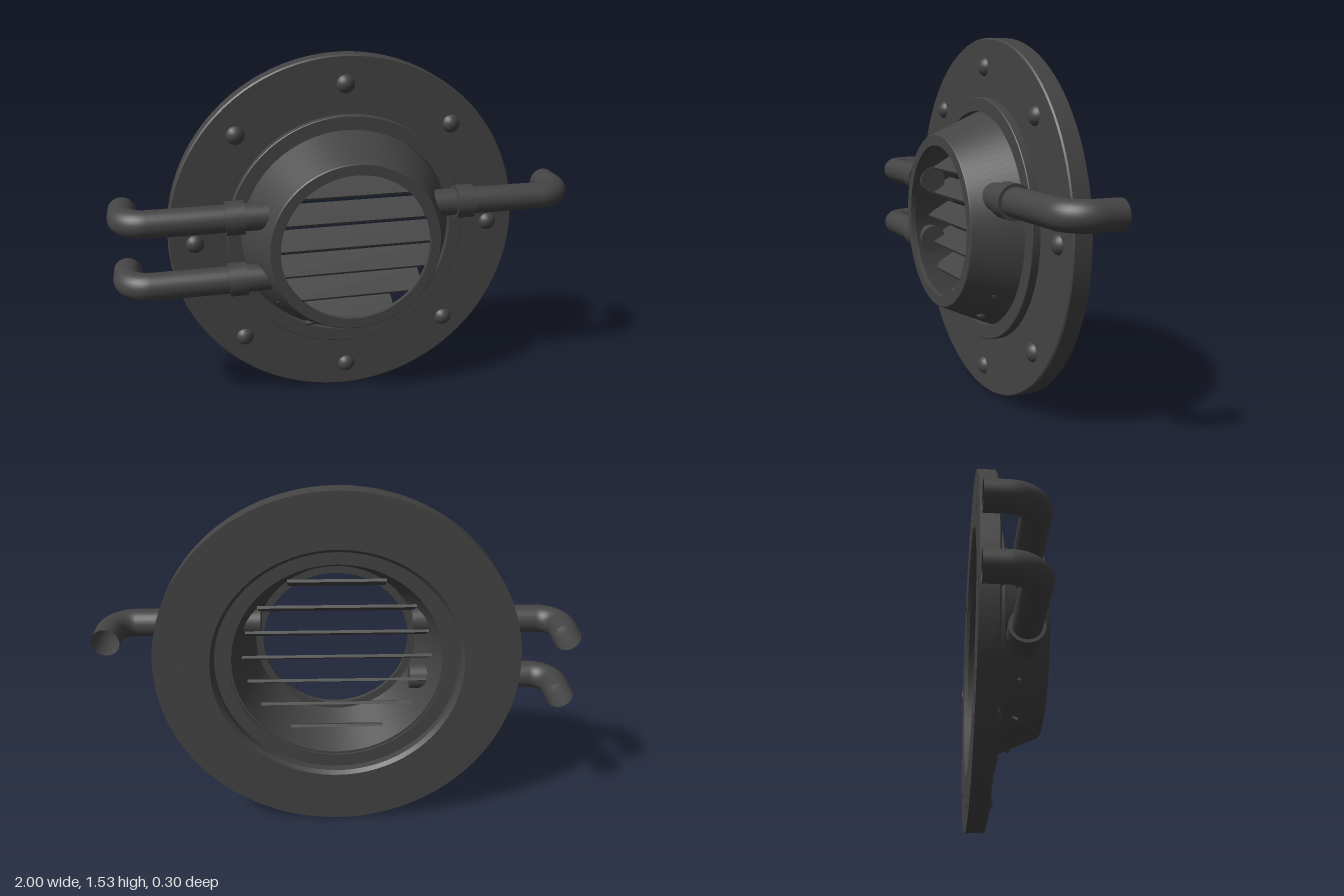
import * as THREE from 'three';
import { toCreasedNormals } from 'three/addons/utils/BufferGeometryUtils.js';

const CY = 0.765;     // height of the vent axis
const INNER_Y = 0.757; // height of the rivet circle and slats

export function createModel() {
  const metal = new THREE.MeshStandardMaterial({ color: 0x444444, side: THREE.DoubleSide });
  metal.name = 'dark grey metal';
  const group = new THREE.Group();
  group.name = 'wallVent';

  const add = (name, geometry, x = 0, y = CY, z = 0, parent = group) => {
    const mesh = new THREE.Mesh(geometry, metal);
    mesh.name = name;
    mesh.position.set(x, y, z);
    parent.add(mesh);
    return mesh;
  };

  // Closed [radius, z] profile turned about the z axis
  const turned = (profile, segments = 96) => {
    const points = [...profile, profile[0]].map(([r, z]) => new THREE.Vector2(r, z));
    const geometry = new THREE.LatheGeometry(points, segments).rotateX(Math.PI / 2);
    return toCreasedNormals(geometry, 0.3);
  };

  // Flange, raised ring seated in its hole, and hollow conical nozzle with a front lip
  add('flange', turned([
    [0.765, -0.149], [0.765, -0.076], [0.759, -0.07],
    [0.515, -0.07], [0.515, -0.134], [0.53, -0.149],
  ]));
  add('raisedRing', turned([
    [0.52, -0.1], [0.52, -0.038], [0.517, -0.035], [0.46, -0.035], [0.455, -0.1],
  ]));
  add('nozzle', turned([
    [0.47, -0.09], [0.367, 0.146], [0.363, 0.15], [0.32, 0.15],
    [0.32, 0.13], [0.352, 0.13], [0.445, -0.09],
  ]));

  // Domed rivets whose shanks reach through the flange
  const dome = new THREE.SphereGeometry(0.043, 24, 16);
  const shank = new THREE.CylinderGeometry(0.043, 0.043, 0.07, 24).rotateX(Math.PI / 2);
  for (let i = 0; i < 8; i++) {
    const a = (i * Math.PI) / 4;
    const x = 0.653 * Math.cos(a), y = INNER_Y + 0.653 * Math.sin(a);
    add('rivetHead', dome, x, y, -0.088);
    add('rivetShank', shank, x, y, -0.115);
  }

  // Louvre slats, sloping down towards the front and fitted to the round duct
  for (let i = -3; i <= 3; i++) {
    const dy = i * 0.115;
    const length = 2 * Math.sqrt(0.4 ** 2 - dy ** 2);
    const slat = add('slat', new THREE.BoxGeometry(length, 0.012, 0.12), 0, INNER_Y + dy, -0.015);
    slat.rotation.x = Math.PI / 6;
  }

  // Side pipes: straight run, quarter bend, short leg to the wall
  const pipePath = new THREE.CurvePath();
  const v = (x, z) => new THREE.Vector3(x, 0, z);
  const k = 0.045; // handle offset of the bend's cubic curve
  pipePath.add(new THREE.LineCurve3(v(0.32, 0.042), v(0.842, 0.042)));
  pipePath.add(new THREE.CubicBezierCurve3(
    v(0.842, 0.042), v(0.942 - k, 0.042), v(0.942, 0.042 - k), v(0.942, -0.058)));
  pipePath.add(new THREE.LineCurve3(v(0.942, -0.058), v(0.942, -0.15)));
  const pipe = new THREE.TubeGeometry(pipePath, 90, 0.058, 28, false);
  const pipeCap = new THREE.CircleGeometry(0.058, 28).rotateY(-Math.PI / 2);
  const collar = toCreasedNormals(
    new THREE.CylinderGeometry(0.071, 0.071, 0.078, 36).rotateZ(Math.PI / 2), 0.5);

  const addPipe = (name, side, y) => {
    const arm = new THREE.Group();
    arm.name = name;
    arm.position.y = y;
    arm.scale.x = side;
    add('pipe', pipe, 0, 0, 0, arm);
    add('pipeCap', pipeCap, 0.32, 0, 0.042, arm);
    add('collar', collar, 0.49, 0, 0.042, arm);
    group.add(arm);
  };
  addPipe('leftPipe', 1, 0.904);
  addPipe('upperRightPipe', -1, 0.904);
  addPipe('lowerRightPipe', -1, 0.63);

  return group;
}
